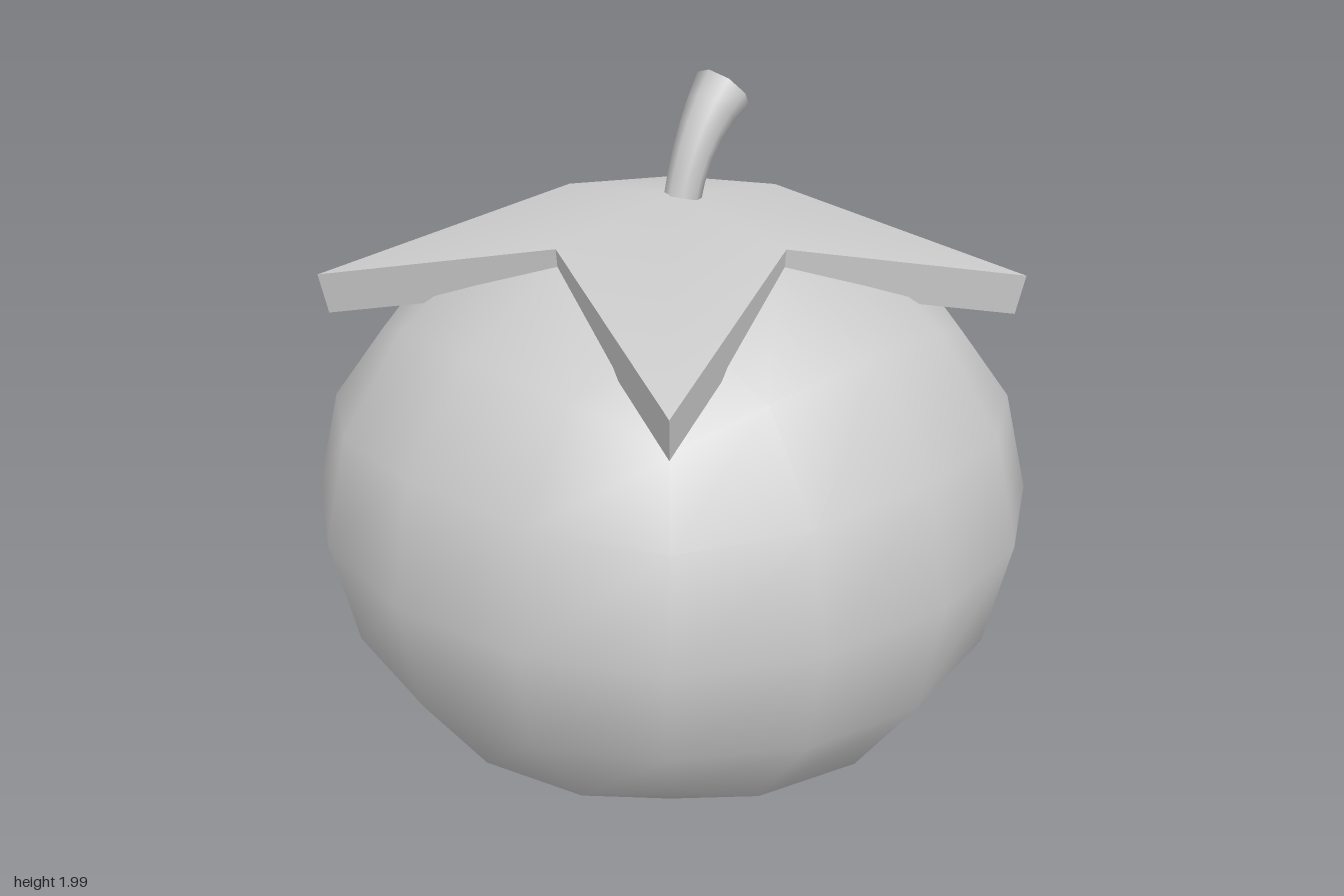
import * as THREE from 'three';
import { mergeVertices, toCreasedNormals } from 'three/addons/utils/BufferGeometryUtils.js';

const material = new THREE.MeshStandardMaterial({ color: 0xcccccc, side: THREE.DoubleSide });

function part(name, geometry) {
  const mesh = new THREE.Mesh(geometry, material);
  mesh.name = name;
  return mesh;
}

// Fruit: a cube rounded by two steps of subdivision. Each grid point (0, 1 or 2
// steps from the middle along each axis) moves to its smoothed place.
function fruitGeometry() {
  const smooth = {
    '002': [0, 0, 0.8785], '012': [0, 0.3505, 0.8195], '112': [0, 0.326, 0.764],
    '022': [0, 0, 0.643], '122': [0, 0.302, 0.599], '222': [0, 0, 0.509],
  };
  let geo = new THREE.BoxGeometry(4, 4, 4, 4, 4, 4);
  geo.deleteAttribute('uv');
  geo.deleteAttribute('normal');
  const pos = geo.attributes.position;
  for (let i = 0; i < pos.count; i++) {
    const p = [pos.getX(i), pos.getY(i), pos.getZ(i)].map(Math.round);
    const place = smooth[p.map(Math.abs).sort().join('')];
    pos.setXYZ(i, ...p.map((v) => Math.sign(v) * place[Math.abs(v)]));
  }
  geo = mergeVertices(geo, 1e-4);
  geo.scale(1.106, 0.934, 1.106);
  geo.translate(0, 0.826, 0);
  geo.computeVertexNormals();
  return geo;
}

// Leaf cap: a four-pointed star, thick and drooping towards its tips
function leafGeometry() {
  const ring = (notchR, notchY, tipR, tipY) => Array.from({ length: 8 }, (_, i) => {
    const a = (i * Math.PI) / 4;
    const r = i % 2 ? tipR : notchR;
    return [r * Math.sin(a), i % 2 ? tipY : notchY, r * Math.cos(a)];
  });
  const top = ring(0.41, 1.63, 0.96, 1.46);
  const low = ring(0.4, 1.52, 0.937, 1.35);
  const corners = [];
  for (let i = 0; i < 8; i++) {
    const j = (i + 1) % 8;
    corners.push([0, 1.69, 0], top[i], top[j]);
    corners.push([0, 1.58, 0], low[j], low[i]);
    corners.push(top[i], low[i], low[j], top[i], low[j], top[j]);
  }
  const geo = new THREE.BufferGeometry();
  geo.setAttribute('position', new THREE.Float32BufferAttribute(corners.flat(), 3));
  return toCreasedNormals(geo, Math.PI / 6);
}

// Stem: a cylinder bent along a curve and flared towards its cut end
function stemGeometry() {
  const curve = new THREE.QuadraticBezierCurve(
    new THREE.Vector2(0.03, 1.66), new THREE.Vector2(0.065, 1.828), new THREE.Vector2(0.185, 1.94));
  const geo = new THREE.CylinderGeometry(1, 1, 1, 8, 5);
  const pos = geo.attributes.position;
  for (let i = 0; i < pos.count; i++) {
    const t = pos.getY(i) + 0.5;
    const c = curve.getPoint(t);
    const d = curve.getTangent(t);
    const r = 0.05 + 0.031 * t * t;
    const x = pos.getX(i) * r;
    pos.setXYZ(i, c.x + d.y * x, c.y - d.x * x, 0.008 + pos.getZ(i) * r);
  }
  return toCreasedNormals(geo, 0.9);
}

export function createModel() {
  const model = new THREE.Group();
  model.name = 'fruit';
  model.add(part('body', fruitGeometry()));
  model.add(part('leafCap', leafGeometry()));
  model.add(part('stem', stemGeometry()));
  return model;
}
